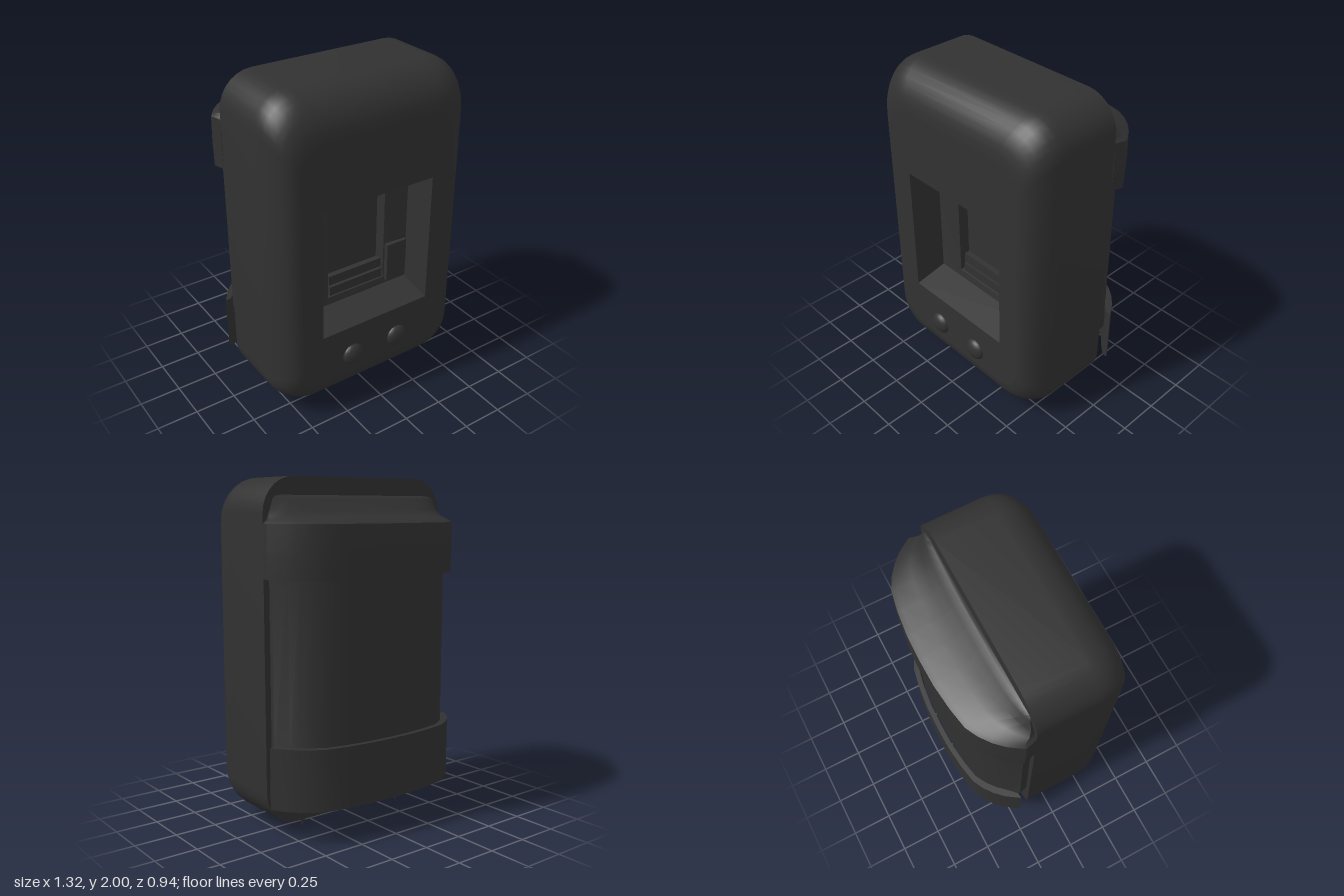
import * as THREE from 'three';
import { toCreasedNormals } from 'three/addons/utils/BufferGeometryUtils.js';
import { RoundedBoxGeometry } from 'three/addons/geometries/RoundedBoxGeometry.js';

// Skin a list of equal-length rings, optionally closing the first and last with fans
function loft(rings, capStart, capEnd, crease = 0.7) {
  const pos = [], idx = [], n = rings[0].length;
  rings.forEach(r => r.forEach(p => pos.push(...p)));
  for (let k = 0; k < rings.length - 1; k++) {
    for (let i = 0; i < n; i++) {
      const j = (i + 1) % n, a = k * n, b = a + n;
      idx.push(a + i, a + j, b + j, a + i, b + j, b + i);
    }
  }
  const cap = (k, flip) => {
    const c = pos.length / 3;
    for (let d = 0; d < 3; d++) pos.push(rings[k].reduce((s, p) => s + p[d], 0) / n);
    for (let i = 0; i < n; i++) {
      const a = k * n + i, b = k * n + (i + 1) % n;
      idx.push(c, flip ? b : a, flip ? a : b);
    }
  };
  if (capStart) cap(0, true);
  if (capEnd) cap(rings.length - 1, false);
  const g = new THREE.BufferGeometry();
  g.setAttribute('position', new THREE.Float32BufferAttribute(pos, 3));
  g.setIndex(idx);
  return toCreasedNormals(g, crease);
}

// Rounded rectangle ring facing +z
function roundRing(hw, y0, y1, r, z, steps = 7) {
  const pts = [];
  [[hw - r, y1 - r], [r - hw, y1 - r], [r - hw, y0 + r], [hw - r, y0 + r]].forEach(([cx, cy], q) => {
    for (let i = 0; i <= steps; i++) {
      const a = (q + i / steps) * Math.PI / 2;
      pts.push([cx + r * Math.cos(a), cy + r * Math.sin(a), z]);
    }
  });
  return pts;
}

const rectRing = (x, y0, y1, z) => [[x, y0, z], [x, y1, z], [-x, y1, z], [-x, y0, z]];

// Bowed outline of the rear pack: half-width and depth fraction, mirrored across x
const HALF = [[0.635, 0], [0.655, 0.21], [0.6, 0.46], [0.55, 0.62], [0.49, 0.76], [0.42, 0.87], [0.3, 0.94], [0.15, 0.99]];
const BOW = [...HALF, [0, 1], ...HALF.slice().reverse().map(([x, t]) => [-x, t])];
const bowRing = (sx, y, zf, zb) => BOW.map(([x, t]) => [x * sx, y, zf + (zb - zf) * t]);

export function createModel() {
  const model = new THREE.Group();
  const dark = new THREE.MeshStandardMaterial({ color: 0x313131 });
  dark.name = 'charcoal';
  const add = (name, geo, x = 0, y = 0, z = 0) => {
    const m = new THREE.Mesh(geo, dark);
    m.name = name;
    m.position.set(x, y, z);
    model.add(m);
    return m;
  };

  // Main case, rounded toward the front
  const rings = [roundRing(0.635, 0.07, 2, 0.2, -0.14)];
  for (let i = 0; i <= 8; i++) {
    const a = i / 8 * Math.PI / 2, s = 1 - Math.cos(a);
    rings.push(roundRing(0.635 - 0.13 * s, 0.07 + 0.16 * s, 2 - 0.24 * s, 0.2 - 0.04 * s, 0.21 + 0.22 * Math.sin(a)));
  }
  add('caseShell', loft(rings, true, false));

  // Front face with the window opening
  const face = new THREE.Shape(rings[rings.length - 1].map(p => new THREE.Vector2(p[0], p[1])));
  face.holes.push(new THREE.Path(rectRing(0.37, 0.55, 1.36, 0).reverse().map(p => new THREE.Vector2(p[0], p[1]))));
  add('frontFace', new THREE.ShapeGeometry(face), 0, 0, 0.43);

  // Stepped recess behind the opening
  add('windowRecess', loft([
    rectRing(0.37, 0.55, 1.36, 0.43),
    rectRing(0.36, 0.6, 1.35, 0.23),
    rectRing(0.2, 0.64, 1.34, 0.22),
    rectRing(0.19, 0.65, 1.33, 0.16),
  ], false, true, 0.4));
  [0.67, 0.74].forEach((y, i) => add('recessBar', new THREE.BoxGeometry(0.38, 0.06, 0.05 - i * 0.015), 0.01, y, 0.185));
  add('recessSideBlock', new THREE.BoxGeometry(0.14, 0.25, 0.03), 0.28, 0.75, 0.235);

  // Front knobs and pointed feet
  for (const x of [-0.165, 0.155]) {
    const knob = add('knob', new THREE.SphereGeometry(0.07, 20, 12), x, 0.35, 0.425);
    knob.scale.z = 0.6;
  }
  for (const x of [-0.36, 0.36]) {
    const foot = add('foot', new THREE.ConeGeometry(0.035, 0.1, 6), x, 0.05, -0.085);
    foot.rotation.x = Math.PI;
  }

  // Rear pack, stepping in at its base
  add('rearPack', loft([
    bowRing(0.76, 0.24, -0.21, -0.37),
    bowRing(0.88, 0.38, -0.21, -0.41),
    bowRing(0.9, 0.47, -0.2, -0.42),
    bowRing(0.94, 0.5, -0.13, -0.425),
    bowRing(0.94, 1.5, -0.13, -0.425),
  ], true, true));

  // Upper flap, sloping up to the case
  add('topFlap', loft([
    bowRing(1, 1.46, -0.14, -0.465),
    bowRing(1.005, 1.6, -0.14, -0.468),
    bowRing(1, 1.75, -0.14, -0.465),
    bowRing(0.97, 1.765, -0.14, -0.44),
    bowRing(0.95, 1.785, -0.135, -0.33),
    bowRing(0.92, 1.82, -0.135, -0.24),
    bowRing(0.88, 1.88, -0.135, -0.2),
    bowRing(0.84, 1.9, -0.13, -0.16),
  ], true, true));

  // Lower strap, a bowed strip open below
  const outer = BOW.slice(1, -1).map(([x, t]) => new THREE.Vector2(x, 0.14 + 0.325 * t));
  const inner = outer.map(p => new THREE.Vector2(p.x * 0.95, p.y - (p.y > 0.25 ? 0.03 : 0))).reverse();
  const strap = new THREE.ExtrudeGeometry(new THREE.Shape([...outer, ...inner]), { depth: 0.35, bevelEnabled: false });
  strap.rotateX(-Math.PI / 2);
  add('lowerStrap', toCreasedNormals(strap, 0.7), 0, 0.205, 0);

  // Ledge joining the case to the pack base
  add('baseLedge', new RoundedBoxGeometry(0.84, 0.19, 0.18, 3, 0.05), 0, 0.26, -0.2);

  return model;
}
